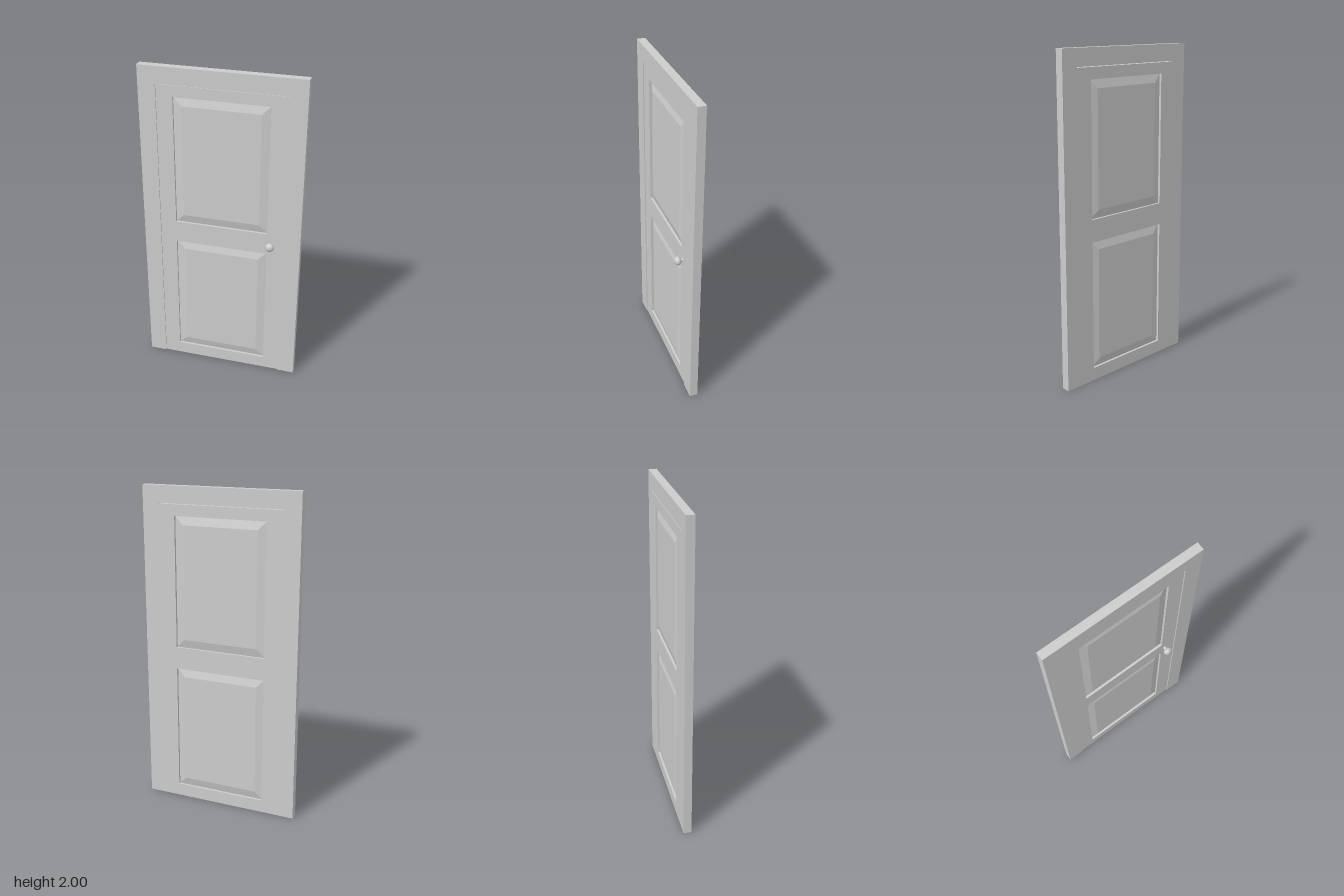
import * as THREE from 'three';

const HALF_W = 0.494, HEIGHT = 2;       // casing
const DOOR_W = 0.388, DOOR_TOP = 1.893; // leaf
const BACK = -0.049, FRONT = 0.0013, LEAF_FRONT = -0.005;
const PANEL_W = 0.288;
const PANELS = [[0.08, 0.88], [1.018, 1.825]];

const outline = (Type, points) => new Type(points.map(([x, y]) => new THREE.Vector2(x, y)));
const rect = (Type, w, y0, y1) => outline(Type, [[-w, y0], [w, y0], [w, y1], [-w, y1]]);

export function createModel() {
  const model = new THREE.Group();
  const grey = new THREE.MeshStandardMaterial({ color: 0xcccccc });
  grey.name = 'light grey';

  const add = (name, geometry, parent = model) => {
    const mesh = new THREE.Mesh(geometry, grey);
    mesh.name = name;
    parent.add(mesh);
    return mesh;
  };

  // Casing: two jambs joined by a header, open at the floor
  const casing = outline(THREE.Shape, [
    [-HALF_W, 0], [-DOOR_W, 0], [-DOOR_W, DOOR_TOP + 0.004], [DOOR_W, DOOR_TOP + 0.004],
    [DOOR_W, 0], [HALF_W, 0], [HALF_W, HEIGHT], [-HALF_W, HEIGHT],
  ]);
  add('casing', new THREE.ExtrudeGeometry(casing, { depth: FRONT - BACK, bevelEnabled: false }))
    .position.z = BACK;

  // Door leaf, slightly recessed at the front, with two panel openings
  const leaf = rect(THREE.Shape, DOOR_W, 0, DOOR_TOP);
  leaf.holes = PANELS.map(([y0, y1]) => rect(THREE.Path, PANEL_W, y0, y1));
  add('doorLeaf', new THREE.ExtrudeGeometry(leaf, { depth: LEAF_FRONT - BACK, bevelEnabled: false }))
    .position.z = BACK;

  // Raised panels, bevelled on both sides
  const slope = 0.013, inset = 0.002, bevel = 0.052;
  const core = LEAF_FRONT - BACK - 2 * (slope + inset);
  PANELS.forEach(([y0, y1], i) => {
    const geometry = new THREE.ExtrudeGeometry(rect(THREE.Shape, PANEL_W, y0, y1), {
      depth: core, bevelThickness: slope, bevelSize: bevel, bevelOffset: -bevel, bevelSegments: 1,
    });
    add(i ? 'upperPanel' : 'lowerPanel', geometry).position.z = BACK + inset + slope;
  });

  // Knob: short neck and a flattened ball
  const knob = new THREE.Group();
  knob.name = 'knob';
  knob.position.set(0.313, 0.947, 0);
  const neck = new THREE.CylinderGeometry(0.011, 0.011, 0.02, 24).rotateX(Math.PI / 2);
  add('knobNeck', neck, knob).position.z = 0.004;
  const ball = add('knobBall', new THREE.SphereGeometry(0.027, 32, 20), knob);
  ball.scale.z = 0.021 / 0.027;
  ball.position.z = 0.028;
  model.add(knob);

  return model;
}
